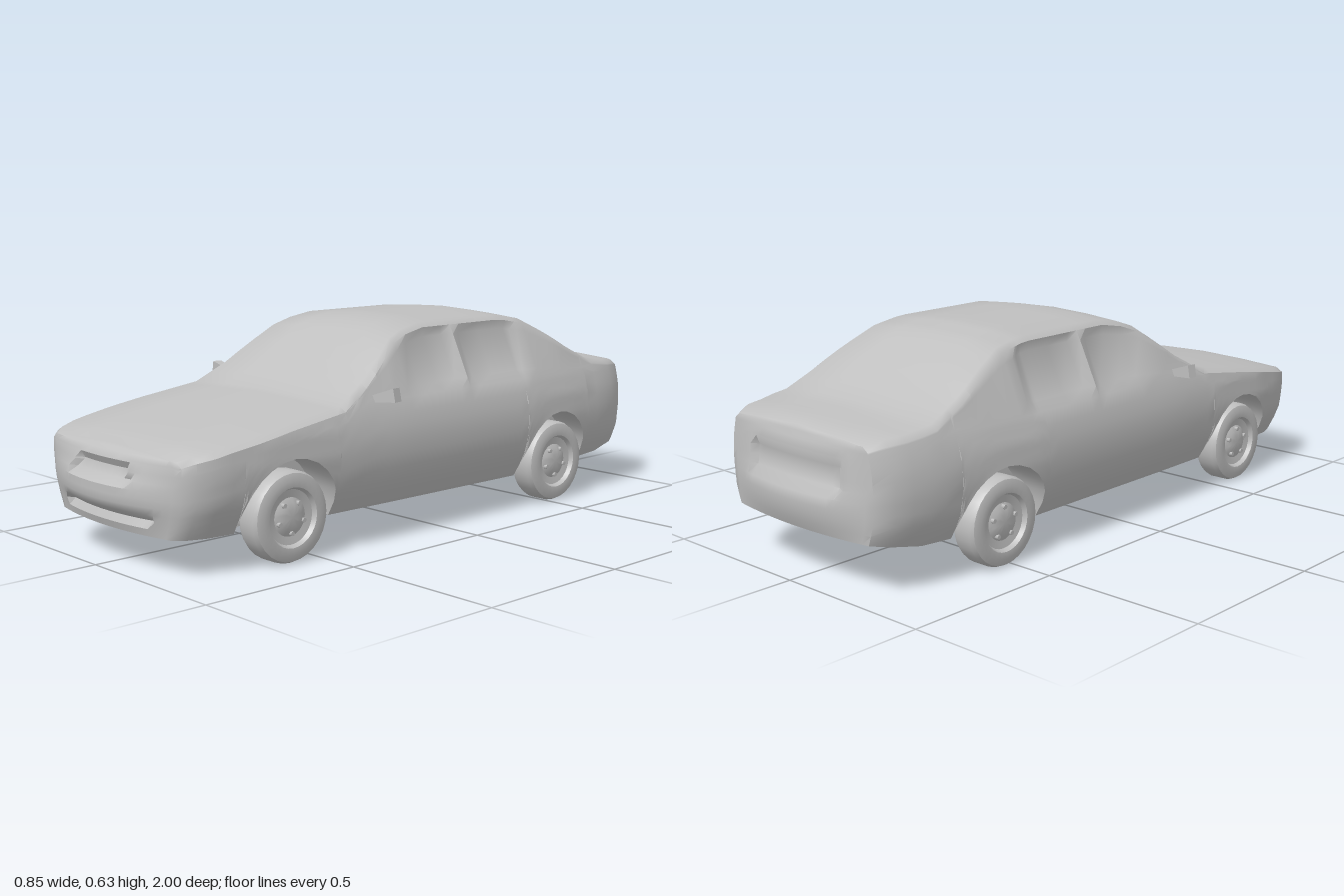
import * as THREE from 'three';
import { toCreasedNormals } from 'three/addons/utils/BufferGeometryUtils.js';

// Piecewise linear lookup in rows of [key, value], keys ascending
function look(table, k) {
  if (k <= table[0][0]) return table[0][1];
  for (let i = 1; i < table.length; i++) {
    const [a, va] = table[i - 1], [b, vb] = table[i];
    if (k <= b) return va + (vb - va) * (k - a) / (b - a);
  }
  return table[table.length - 1][1];
}

const TOP = [[-0.95, 0.43], [-0.9, 0.442], [-0.85, 0.445], [-0.75, 0.458], [-0.65, 0.505], [-0.55, 0.562], [-0.45, 0.61],
  [-0.35, 0.628], [0, 0.628], [0.12, 0.606], [0.2, 0.55], [0.3, 0.48], [0.4, 0.426], [0.6, 0.398], [0.8, 0.365], [0.9, 0.345], [0.93, 0.333]];
const BOTTOM = [[-0.95, 0.15], [-0.8, 0.12], [-0.4, 0.1], [0.93, 0.105]];
const WIDTH = [[-0.95, 0.77], [-0.9, 0.86], [-0.8, 0.925], [-0.6, 0.97], [-0.4, 1], [0.2, 1], [0.7, 0.98], [0.85, 0.935], [0.9, 0.88], [0.93, 0.81]];
// Half width of the body at each height
const SIDE = [[0.1, 0.325], [0.15, 0.355], [0.2, 0.378], [0.28, 0.387], [0.35, 0.38], [0.41, 0.36], [0.44, 0.345], [0.5, 0.322], [0.6, 0.266]];
// Depth of the side windows, with a pillar between the doors
const WINDOW = [[-0.42, 0], [-0.38, 0.016], [-0.16, 0.018], [-0.12, 0], [-0.08, 0.018], [0.08, 0.012], [0.14, 0]];
const WHEELS = [0.6, -0.53], WHEEL_Y = 0.13, ARCH = 0.165;

// Half cross-section, from bottom centre round to top centre
function section(z) {
  const yb = look(BOTTOM, z), top = look(TOP, z), w = look(WIDTH, z);
  let ya = yb;
  for (const zw of WHEELS) {
    const d = Math.abs(z - zw);
    if (d < ARCH) ya = Math.max(ya, WHEEL_Y + Math.sqrt(ARCH * ARCH - d * d));
  }
  const half = y => look(SIDE, y) * w;
  const inner = Math.min(0.265, half(yb) * 0.8);
  const pts = [[0, yb], [inner, yb], [inner, ya]];
  const shoulder = top - 0.028, belt = Math.min(0.415, shoulder - 0.03);
  for (let i = 0; i <= 8; i++) {
    const y = ya + (belt - ya) * i / 8;
    pts.push([half(y), y]);
  }
  for (const t of [0.15, 0.85]) {
    const y = belt + (shoulder - belt) * t;
    pts.push([half(y) - look(WINDOW, z), y]);
  }
  const xs = half(shoulder);
  pts.push([xs, shoulder], [xs * 0.93, top - 0.014], [xs * 0.5, top - 0.005], [0, top]);
  return pts;
}

function quadSurface(out, rows) {
  const tri = (a, b, c) => {
    const same = (p, q) => Math.hypot(p[0] - q[0], p[1] - q[1], p[2] - q[2]) < 1e-6;
    if (!same(a, b) && !same(b, c) && !same(a, c)) out.push(...a, ...b, ...c);
  };
  for (let j = 0; j + 1 < rows.length; j++) {
    for (let i = 0; i + 1 < rows[j].length; i++) {
      const a = rows[j][i], b = rows[j + 1][i], c = rows[j + 1][i + 1], d = rows[j][i + 1];
      tri(a, b, c);
      tri(a, c, d);
    }
  }
}

// Curved end face, bulging away from the end section
function endFace(out, z, sign, bulge, dents) {
  const pts = section(z), cols = [];
  for (let k = -12; k <= 12; k++) {
    const f = k / 12;
    cols.push(pts.map(([x, y], i) => {
      let d = i < 3 || i === pts.length - 1 ? 0 : look(bulge, y) * (1 - f * f);
      for (const [w, y0, y1, depth] of dents) {
        if (Math.abs(f * x) < w && y > y0 && y < y1 && i > 3) d -= depth;
      }
      return [f * x, y, z + sign * d];
    }));
  }
  quadSurface(out, sign > 0 ? cols : cols.reverse());
}

function bodyGeometry() {
  const zs = [0.93, 0.9, 0.85, 0.8, 0.4, 0.35, 0.3, 0.25, 0.2, 0.14, 0.08, 0, -0.08, -0.12, -0.16, -0.25, -0.33, -0.75, -0.8, -0.85, -0.9, -0.95];
  for (const zw of WHEELS) {
    for (const d of [0, 0.04, 0.08, 0.115, 0.14, 0.155, 0.164, 0.1655]) {
      zs.push(zw + d);
      if (d) zs.push(zw - d);
    }
  }
  zs.sort((a, b) => b - a);
  const out = [];
  quadSurface(out, zs.map(z => {
    const s = section(z);
    return [...s, ...s.slice(0, -1).reverse().map(([x, y]) => [-x, y])].map(([x, y]) => [x, y, z]);
  }));
  // Nose with grille and lower intake
  endFace(out, 0.93, 1, [[0.1, 0.03], [0.14, 0.045], [0.19, 0.07], [0.24, 0.07], [0.27, 0.052], [0.31, 0.04], [0.335, 0.01]],
    [[0.13, 0.25, 0.285, 0.018], [0.2, 0.14, 0.168, 0.02]]);
  // Tail with bumper and number plate recess
  endFace(out, -0.95, -1, [[0.14, 0.02], [0.19, 0.042], [0.25, 0.05], [0.29, 0.035], [0.38, 0.022], [0.43, 0.006]],
    [[0.19, 0.285, 0.36, 0.016]]);
  const g = new THREE.BufferGeometry();
  g.setAttribute('position', new THREE.Float32BufferAttribute(out, 3));
  return toCreasedNormals(g, 0.75);
}

export function createModel() {
  const car = new THREE.Group();
  car.name = 'car';
  const grey = new THREE.MeshStandardMaterial({ color: 0xbfbfbf });
  grey.name = 'grey';
  const add = (parent, geometry, name) => {
    const m = new THREE.Mesh(geometry, grey);
    m.name = name;
    parent.add(m);
    return m;
  };

  add(car, bodyGeometry(), 'body');

  // Wheel profile: inner face, tread, outer face, rim dish and hub
  const profile = [[0, -0.045], [0.105, -0.045], [0.124, -0.038], [0.13, -0.025], [0.13, 0.025], [0.124, 0.038], [0.105, 0.045],
    [0.085, 0.043], [0.078, 0.03], [0.055, 0.026], [0.04, 0.034], [0.022, 0.038], [0, 0.038]].map(([r, y]) => new THREE.Vector2(r, y));
  const wheelGeometry = toCreasedNormals(new THREE.LatheGeometry(profile, 28), 0.6);
  const bolt = new THREE.CylinderGeometry(0.007, 0.007, 0.012, 6);

  // Mirror housing: tapered box on the door, wider at its outer end
  const mirrorGeometry = new THREE.BoxGeometry(0.075, 0.04, 0.03);
  const p = mirrorGeometry.attributes.position;
  for (let i = 0; i < p.count; i++) {
    if (p.getX(i) < 0) p.setXYZ(i, p.getX(i), p.getY(i) * 0.5, p.getZ(i) * 0.5 + 0.012);
  }
  mirrorGeometry.computeVertexNormals();

  for (const side of [1, -1]) {
    const sideName = side > 0 ? 'left' : 'right';
    WHEELS.forEach((z, n) => {
      const wheel = new THREE.Group();
      wheel.name = sideName + (n ? 'RearWheel' : 'FrontWheel');
      wheel.position.set(side * 0.325, WHEEL_Y, z);
      wheel.rotation.z = -side * Math.PI / 2;
      add(wheel, wheelGeometry, 'tyreAndRim');
      for (let k = 0; k < 5; k++) {
        const a = k * Math.PI * 2 / 5;
        add(wheel, bolt, 'wheelBolt').position.set(Math.cos(a) * 0.045, 0.034, Math.sin(a) * 0.045);
      }
      car.add(wheel);
    });
    const mirror = add(car, mirrorGeometry, sideName + 'Mirror');
    mirror.position.set(side * 0.382, 0.43, 0.26);
    mirror.rotation.set(0, side > 0 ? 0.15 : Math.PI - 0.15, 0.2);
    if (side < 0) mirror.rotation.z = 0.2;
  }
  return car;
}
